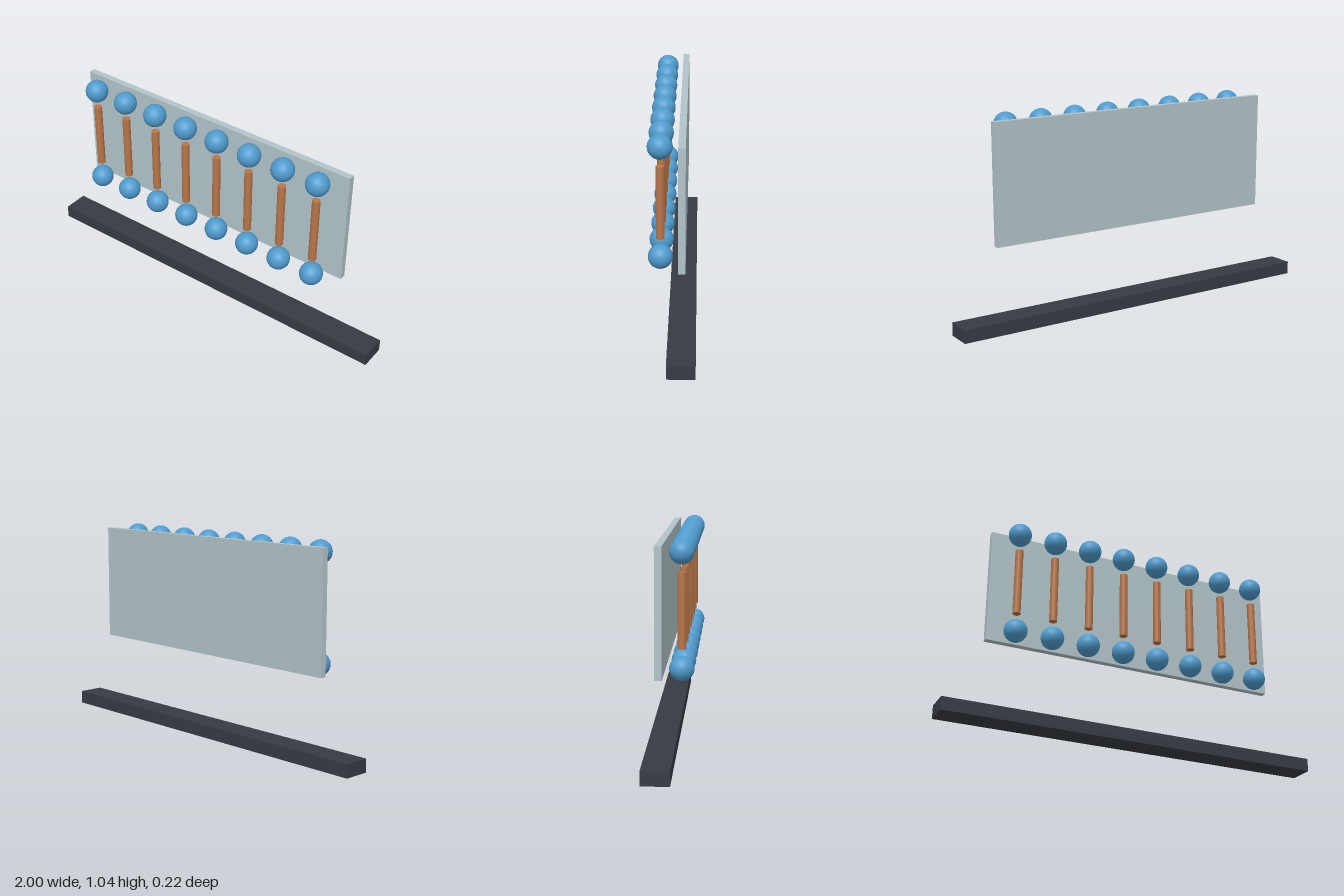
import * as THREE from 'three';

const material = (name, color) => {
  const m = new THREE.MeshStandardMaterial({ color });
  m.name = name;
  return m;
};

export function createModel() {
  const group = new THREE.Group();
  group.name = 'rodAndBallPanel';

  const charcoal = material('charcoal', 0x363b43);
  const paleGrey = material('pale blue grey', 0xb2c4c8);
  const copper = material('copper', 0xb87548);
  const blue = material('blue', 0x4f9bcd);

  const add = (name, geometry, mat, x, y, z) => {
    const mesh = new THREE.Mesh(geometry, mat);
    mesh.name = name;
    mesh.position.set(x, y, z);
    group.add(mesh);
  };

  // Base bar and the panel floating above it
  add('baseBar', new THREE.BoxGeometry(2, 0.067, 0.133), charcoal, 0, 0.0335, -0.045);
  add('backPanel', new THREE.BoxGeometry(1.58, 0.6, 0.033), paleGrey, 0, 0.72, -0.045);

  // Row of rods, each with a ball above and below
  const count = 8;
  const pitch = 0.1915;
  const z = 0.055;
  const ball = new THREE.SphereGeometry(0.058, 32, 20);
  const rod = new THREE.CylinderGeometry(0.02, 0.02, 0.35, 24);
  for (let i = 0; i < count; i++) {
    const x = (i - (count - 1) / 2) * pitch;
    add(`upperBall${i + 1}`, ball, blue, x, 0.986, z);
    add(`rod${i + 1}`, rod, copper, x, 0.719, z);
    add(`lowerBall${i + 1}`, ball, blue, x, 0.453, z);
  }

  return group;
}
